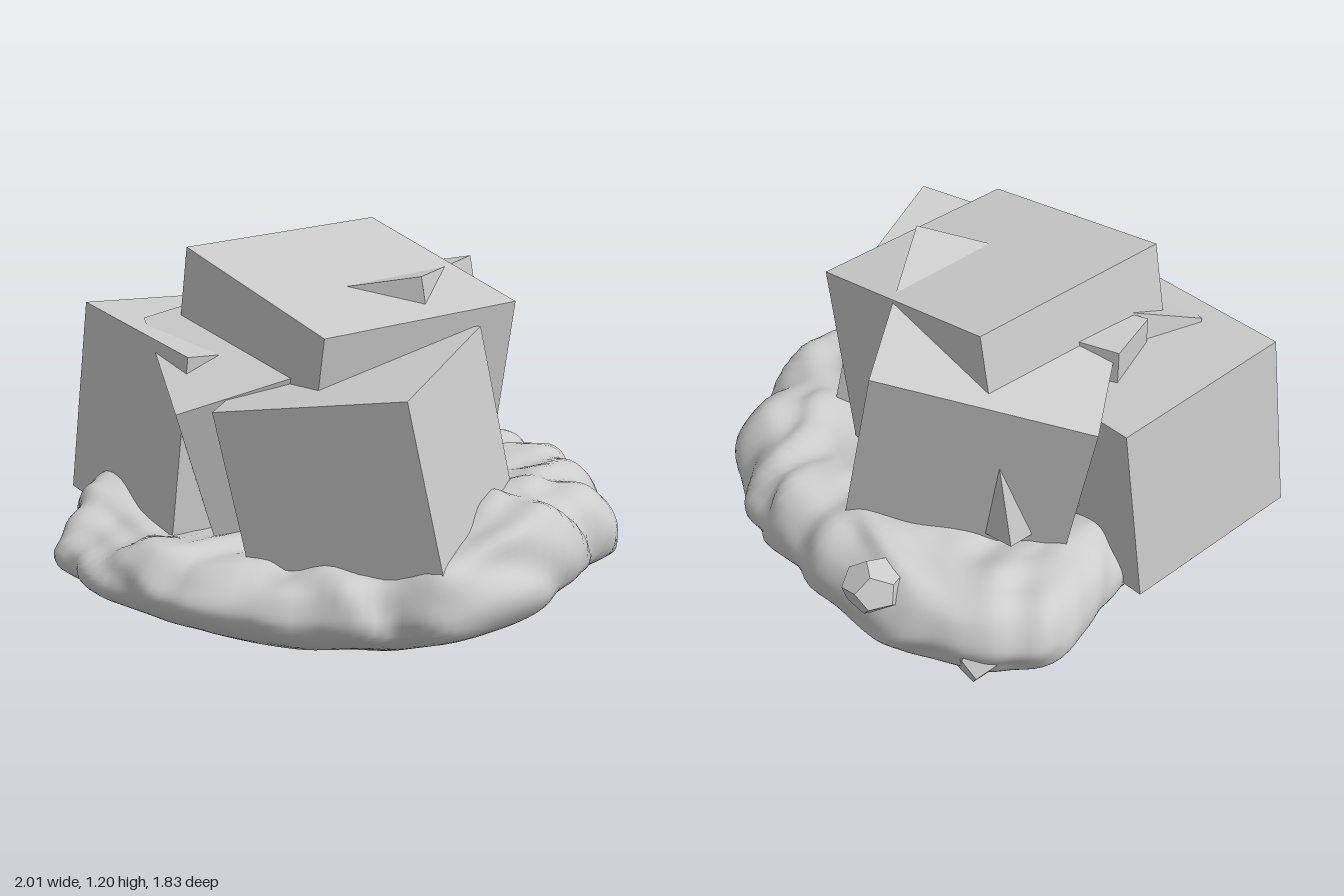
import * as THREE from 'three';

const stone = new THREE.MeshStandardMaterial({ color: 0xcccccc });
stone.name = 'grey stone';

const V = (p) => new THREE.Vector3(...p);

// Broad rounded lumps with a few creases and fine roughness
function lump(x, y, z) {
  const u = x + 0.12 * Math.sin(6 * z + 2), w = z + 0.12 * Math.sin(7 * x + 1);
  const big = Math.sin(12 * u + 5 * y) * Math.sin(13 * w - 4 * y + 0.7);
  const crease = Math.abs(Math.sin(7 * u - 6 * w + 6 * y)) - 0.64;
  const mid = Math.sin(23 * u - 11 * w + 15 * y) * Math.sin(21 * w + 9 * u - 12 * y + 2);
  return big + 0.6 * crease + 0.4 * mid;
}

// Block given by three consecutive corners of its top face and its height
function block(name, a, b, c, height) {
  const p0 = V(a), p1 = V(b), p2 = V(c);
  const x = p1.clone().sub(p0), z = p2.clone().sub(p1);
  const w = x.length(), d = z.length();
  x.normalize();
  const y = z.clone().cross(x).normalize();
  if (y.y < 0) y.negate();
  z.crossVectors(x, y);
  const mesh = new THREE.Mesh(new THREE.BoxGeometry(w, height, d), stone);
  mesh.name = name;
  mesh.quaternion.setFromRotationMatrix(new THREE.Matrix4().makeBasis(x, y, z));
  mesh.position.copy(p0).add(p2).multiplyScalar(0.5).addScaledVector(y, -height / 2);
  return mesh;
}

// Lumpy mound: outline points are [x, rim height, z]
function mound() {
  const outline = new THREE.CatmullRomCurve3([
    [0.98, 0.42, 0.02], [0.94, 0.43, -0.17], [0.86, 0.44, -0.35], [0.71, 0.43, -0.5],
    [0.56, 0.42, -0.64], [0.41, 0.41, -0.77], [0.28, 0.41, -0.85], [0.08, 0.39, -0.88],
    [-0.13, 0.38, -0.9], [-0.32, 0.38, -0.83], [-0.4, 0.38, -0.65], [-0.47, 0.38, -0.5],
    [-0.55, 0.35, -0.34], [-0.7, 0.35, -0.14], [-0.89, 0.39, 0.08], [-0.93, 0.36, 0.31],
    [-0.87, 0.28, 0.5], [-0.72, 0.28, 0.67], [-0.5, 0.31, 0.79], [-0.3, 0.31, 0.85],
    [0.1, 0.3, 0.9], [0.35, 0.31, 0.85], [0.6, 0.37, 0.81], [0.78, 0.43, 0.67],
    [0.89, 0.45, 0.49], [0.91, 0.45, 0.25],
  ].map(V), true);
  // Cross-section: [fraction of x, fraction of rim height, fraction of z]
  const section = new THREE.CatmullRomCurve3([
    [0.002, 0, 0.002], [0.35, 0, 0.5], [0.58, 0.01, 0.8], [0.75, 0.12, 0.89], [0.89, 0.25, 0.95],
    [0.98, 0.39, 0.985], [1, 0.54, 1], [0.985, 0.7, 0.98], [0.94, 0.85, 0.94],
    [0.87, 0.96, 0.87], [0.79, 0.99, 0.79], [0.7, 0.98, 0.7], [0.6, 0.94, 0.6],
    [0.3, 0.9, 0.3], [0.002, 0.9, 0.002],
  ].map(V));
  const N = 150, M = 60, pos = [], idx = [];
  const rim = outline.getPoints(N);
  section.getPoints(M).forEach((s, j) => {
    for (let i = 0; i < N; i++) {
      const p = rim[i].clone().multiply(s);
      const n = 0.027 * Math.min(1, s.y * 2.5) * lump(p.x, p.y, p.z);
      const f = 1 + n * s.x;
      pos.push(Math.min(1, p.x * f), Math.max(0, p.y + n * (s.y - 0.2)), p.z * f);
      if (j === M) continue;
      const a = j * N + i, b = j * N + (i + 1) % N;
      idx.push(a, b, b + N, a, b + N, a + N);
    }
  });
  const g = new THREE.BufferGeometry();
  g.setAttribute('position', new THREE.Float32BufferAttribute(pos, 3));
  g.setIndex(idx);
  g.computeVertexNormals();
  const mesh = new THREE.Mesh(g, stone);
  mesh.name = 'rubble mound';
  return mesh;
}

// Small faceted rock sunk into the mound
function rock(name, at, size, turn) {
  const mesh = new THREE.Mesh(new THREE.DodecahedronGeometry(1, 0), stone);
  mesh.name = name;
  mesh.position.set(...at);
  mesh.scale.set(...size);
  mesh.rotation.set(turn, turn * 2, 0);
  return mesh;
}

export function createModel() {
  const model = new THREE.Group();
  model.name = 'block pile';
  model.add(
    mound(),
    // Tilted cubes leaning into one another
    block('top block', [-0.5, 1.2, 0.152], [0, 1.2, -0.478], [0.62, 1.05, 0.032], 0.81),
    block('back block', [-0.41, 0.91, -0.56], [0.34, 1.055, -0.57], [0.34, 1.16, 0.2], 0.77),
    block('front block', [-0.23, 0.8, 0.735], [0.44, 0.92, 0.837], [0.53, 0.99, 0.155], 0.69),
    block('side block', [-0.4, 0.9, 0.475], [-0.94, 0.94, 0.015], [-0.49, 0.88, -0.512], 0.7),
    block('inner block', [-0.68, 0.93, 0.125], [-0.37, 0.77, 0.695], [0.22, 0.946, 0.435], 0.67),
    block('small block', [-0.24, 1.0, -0.16], [-0.43, 1.0, -0.22], [-0.5, 0.99, 0.01], 0.15),
    // Loose rocks at the back edge
    rock('back rock', [0.31, 0.33, -0.75], [0.12, 0.1, 0.11], 0.4),
    rock('edge rock', [-0.05, 0.16, -0.79], [0.12, 0.14, 0.1], 0.9),
  );
  return model;
}
